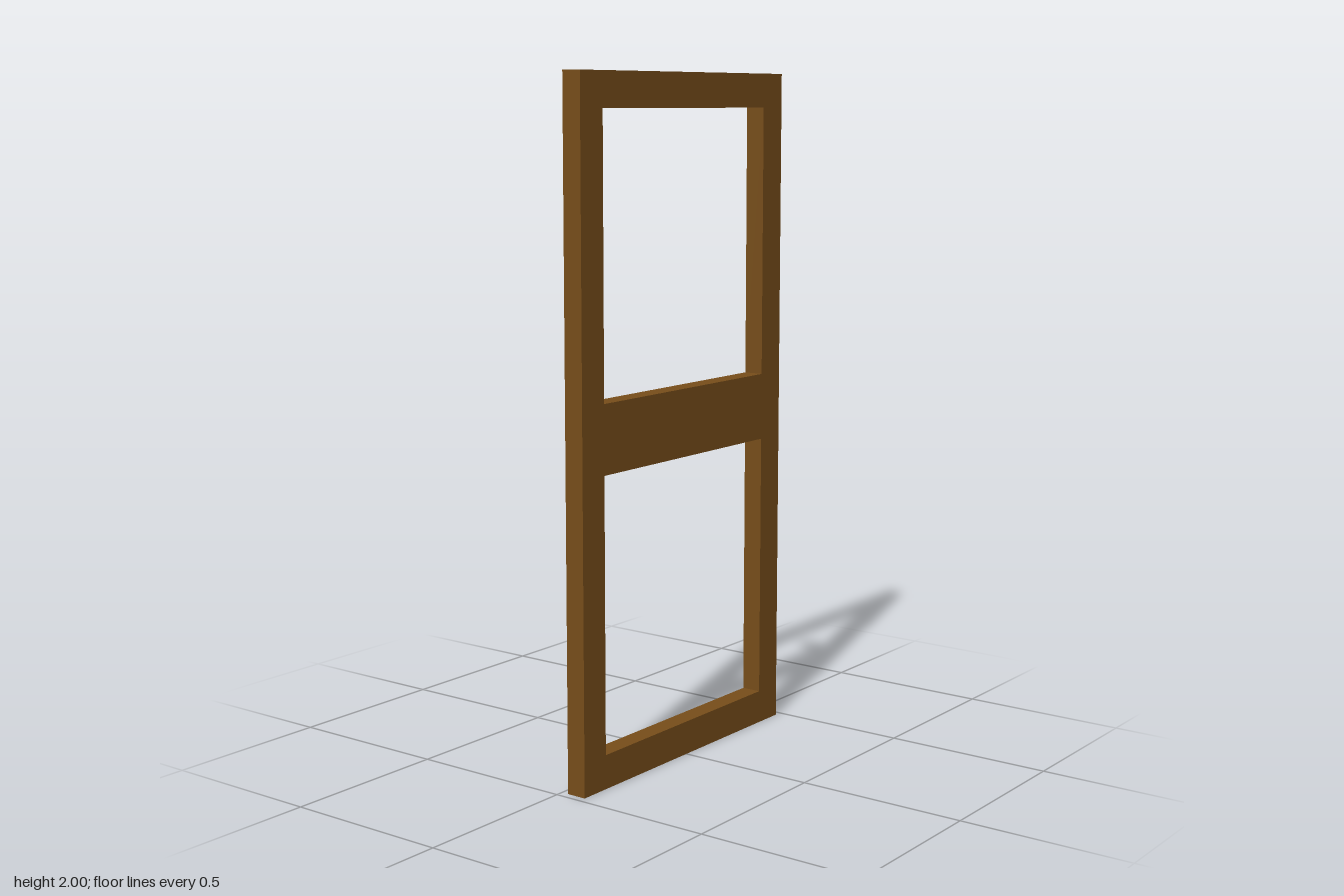
import * as THREE from 'three';

const WIDTH = 0.955, HEIGHT = 2, DEPTH = 0.06, STILE = 0.095;
const FACE_X = 0.022; // face that carries the knob

// Rectangular outline, usable as a shape or a hole
function rect(path, x0, y0, x1, y1) {
  path.moveTo(x0, y0);
  path.lineTo(x1, y0);
  path.lineTo(x1, y1);
  path.lineTo(x0, y1);
  path.closePath();
  return path;
}

export function createModel() {
  const model = new THREE.Group();
  model.name = 'door';
  const wood = new THREE.MeshStandardMaterial({ color: 0x784e1a });
  const metal = new THREE.MeshStandardMaterial({ color: 0xcccccc });

  // Frame with a lower and an upper opening around the middle rail
  const half = WIDTH / 2, inner = half - STILE;
  const outline = rect(new THREE.Shape(), -half, 0, half, HEIGHT);
  for (const [y0, y1] of [[0.1, 0.9], [1.1, 1.9]]) {
    outline.holes.push(rect(new THREE.Path(), -inner, y0, inner, y1));
  }
  const frame = new THREE.Mesh(
    new THREE.ExtrudeGeometry(outline, { depth: DEPTH, bevelEnabled: false }), wood);
  frame.name = 'doorFrame';
  frame.rotation.y = -Math.PI / 2;
  frame.position.x = FACE_X + DEPTH;
  model.add(frame);

  // Handle: short stem and an elongated round knob
  const handle = new THREE.Group();
  handle.name = 'handle';
  handle.position.set(FACE_X, 1, -0.428);
  const stem = new THREE.Mesh(new THREE.CylinderGeometry(0.014, 0.014, 0.05, 32), metal);
  stem.name = 'handleStem';
  stem.rotation.z = Math.PI / 2;
  stem.position.x = -0.025;
  const knob = new THREE.Mesh(new THREE.SphereGeometry(1, 32, 24), metal);
  knob.name = 'handleKnob';
  knob.scale.set(0.04, 0.033, 0.033);
  knob.position.x = -0.064;
  handle.add(stem, knob);
  model.add(handle);

  return model;
}
